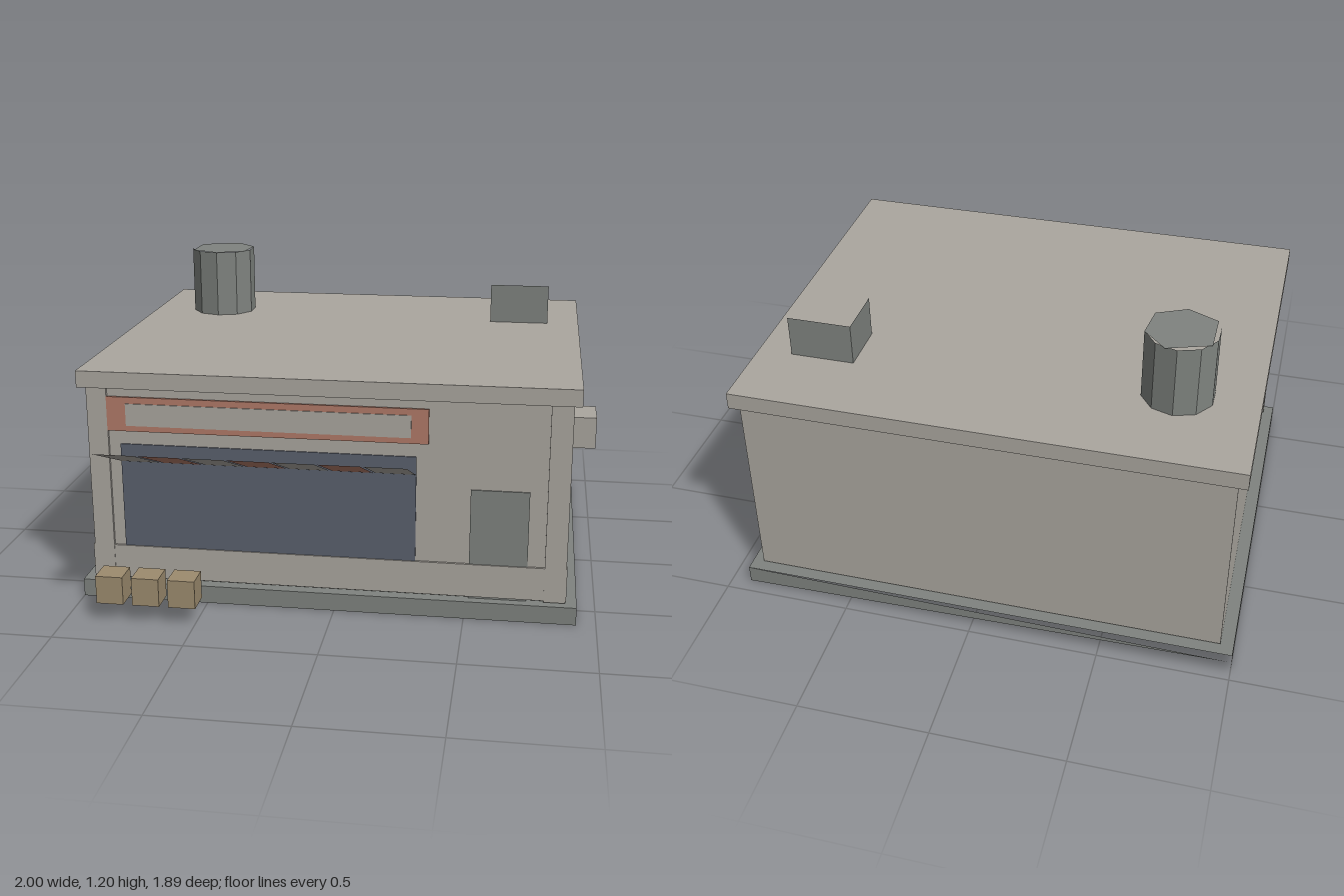
import * as THREE from 'three';

const mat = (name, color, extra = {}) => {
  const m = new THREE.MeshStandardMaterial({ color, ...extra });
  m.name = name;
  return m;
};

export function createModel() {
  const group = new THREE.Group();
  const D = { side: THREE.DoubleSide };
  const concrete = mat('concrete', 0xaaa69f);
  const darkGrey = mat('darkGrey', 0x7f837f);
  const brickRed = mat('brickRed', 0xb07a68);
  const glass = mat('glass', 0x5a606d);
  const wood = mat('wood', 0x9c8b6e);
  const clothGrey = mat('clothGrey', 0xaaa69f, D);
  const clothRed = mat('clothRed', 0xb07a68, D);

  const add = (name, geometry, material) => {
    const mesh = new THREE.Mesh(geometry, material);
    mesh.name = name;
    group.add(mesh);
    return mesh;
  };
  // Box given by its extents on each axis
  const box = (name, material, x0, x1, y0, y1, z0, z1) => {
    const g = new THREE.BoxGeometry(x1 - x0, y1 - y0, z1 - z0);
    g.translate((x0 + x1) / 2, (y0 + y1) / 2, (z0 + z1) / 2);
    return add(name, g, material);
  };

  // Ground slab: full top, bottom, front and left; tapered right and back sides
  const P = (x, y, z) => [x, y, z];
  const X0 = -1, X1 = 0.925, Z0 = -0.945, Z1 = 0.63, H = 0.07;
  const quad = (a, b, c, d) => [a, b, c, a, c, d];
  const slab = [
    ...quad(P(X0, H, Z1), P(X1, H, Z1), P(X1, H, Z0), P(X0, H, Z0)),
    ...quad(P(X0, 0, Z0), P(X1, 0, Z0), P(X1, 0, Z1), P(X0, 0, Z1)),
    ...quad(P(X0, 0, Z1), P(X1, 0, Z1), P(X1, H, Z1), P(X0, H, Z1)),
    ...quad(P(X0, 0, Z0), P(X0, 0, Z1), P(X0, H, Z1), P(X0, H, Z0)),
    P(X1, H / 2, Z1), P(X1, 0, Z0), P(X1, H, Z0),
    P(X1, 0, Z0), P(X0, H / 2, Z0), P(X1, H, Z0),
  ];
  const slabGeo = new THREE.BufferGeometry();
  slabGeo.setAttribute('position', new THREE.Float32BufferAttribute(slab.flat(), 3));
  slabGeo.computeVertexNormals();
  add('groundSlab', slabGeo, darkGrey);

  // Building shell
  box('walls', concrete, -0.95, 0.88, 0.075, 0.855, -0.9, 0.592);
  box('roof', concrete, -0.985, 0.91, 0.855, 0.92, -0.93, 0.62);
  box('leftPilaster', concrete, 0.8, 0.882, 0.075, 0.855, 0.57, 0.604);
  box('rightPilaster', concrete, -0.954, -0.875, 0.075, 0.855, 0.57, 0.604);
  box('frontSill', concrete, -0.96, 0.885, 0.08, 0.212, 0.57, 0.602);

  // Shop window, door and sign
  box('window', glass, -0.83, 0.31, 0.205, 0.63, 0.589, 0.597);
  box('door', darkGrey, 0.515, 0.735, 0.072, 0.51, 0.589, 0.597);
  box('signFrame', brickRed, -0.875, 0.355, 0.685, 0.82, 0.599, 0.608);
  box('signPanel', concrete, -0.8, 0.29, 0.708, 0.795, 0.604, 0.612);

  // Awning: thin striped slats rising away from the wall
  const run = 0.335, rise = 0.14;
  for (let i = 0; i < 7; i++) {
    const g = new THREE.PlaneGeometry(0.153, Math.hypot(run, rise));
    g.rotateX(-Math.PI / 2 - Math.atan2(rise, run));
    g.translate(-0.745 + i * 0.163, 0.635, 0.61 + run / 2);
    add('awningSlat' + (i + 1), g, i % 2 ? clothRed : clothGrey);
  }

  // Crates in front of the shop
  for (let i = 0; i < 3; i++) {
    const x = -0.873 + i * 0.139;
    box('crate' + (i + 1), wood, x, x + 0.104, 0.075, 0.185, 0.745, 0.847);
  }

  // Wall unit on the side
  box('wallUnit', concrete, 0.878, 1, 0.445, 0.58, -0.335, -0.16);

  // Open roof vent: a box without its top face
  const vent = box('roofVent', darkGrey, 0.53, 0.777, 0.92, 1.083, -0.635, -0.43);
  const faces = Array.from(vent.geometry.index.array);
  faces.splice(12, 6);
  vent.geometry.clearGroups();
  vent.geometry.setIndex(faces);

  // Chimney with ten flat sides and a smaller uneven cap
  const pipe = new THREE.CylinderGeometry(0.137, 0.137, 0.28, 10, 1, true).toNonIndexed();
  pipe.translate(-0.68, 1.06, -0.53);
  pipe.computeVertexNormals();
  add('chimney', pipe, darkGrey);
  const cap = [[-0.795, -0.61], [-0.637, -0.665], [-0.55, -0.577], [-0.567, -0.45],
    [-0.68, -0.396], [-0.795, -0.45]];
  const capGeo = new THREE.ShapeGeometry(
    new THREE.Shape(cap.map(([x, z]) => new THREE.Vector2(x, -z))));
  capGeo.rotateX(-Math.PI / 2);
  capGeo.translate(0, 1.2, 0);
  add('chimneyCap', capGeo, darkGrey);

  return group;
}
